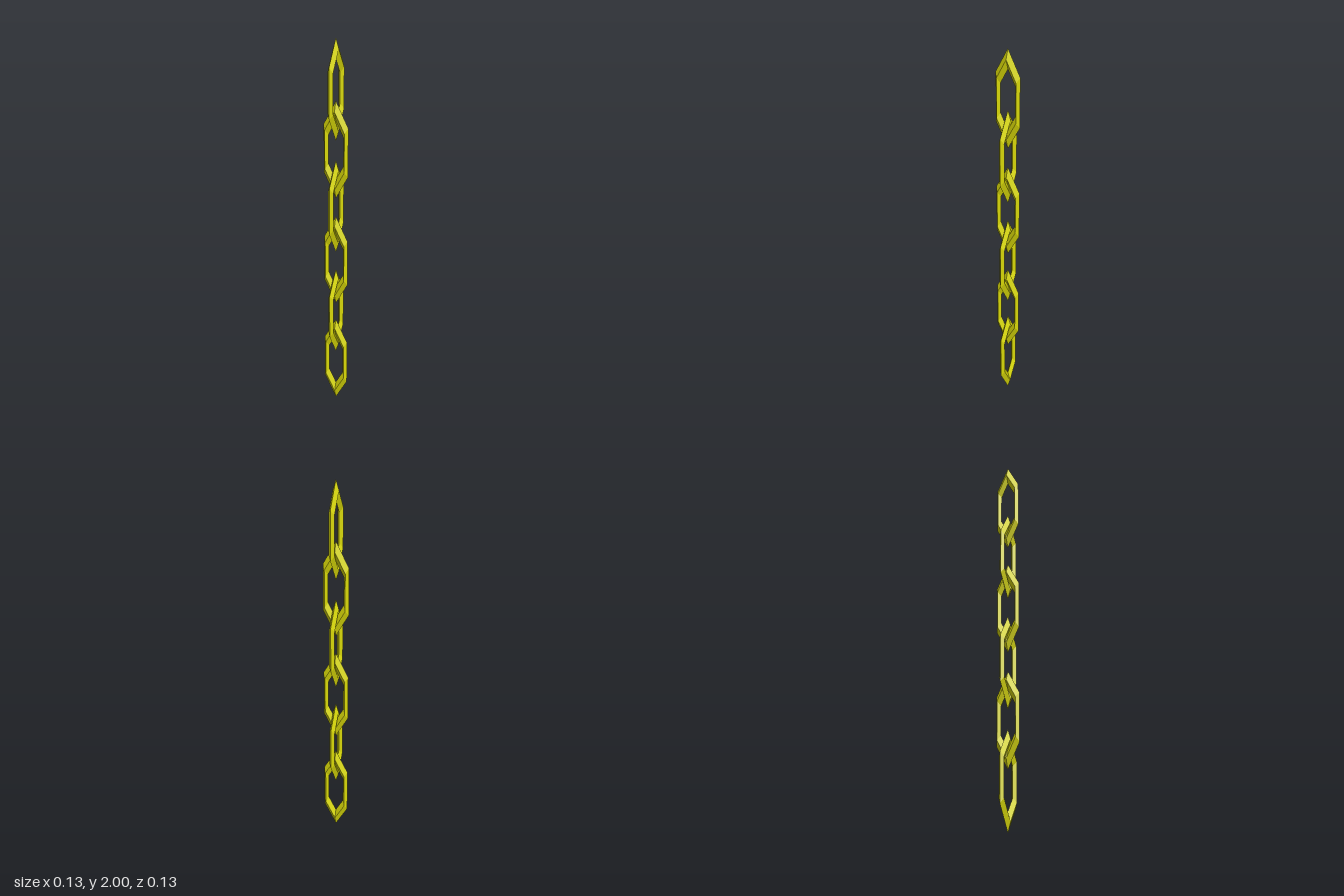
import * as THREE from 'three';

const LINKS = 6;
const LINK_HEIGHT = 0.5;
const PITCH = 0.3;

export function createModel() {
  const chain = new THREE.Group();
  chain.name = 'chain';

  const yellow = new THREE.MeshStandardMaterial({ color: 0xd8d808, flatShading: true });
  yellow.name = 'yellow';

  // One link: six-sided ring with a diamond section, point upwards, squeezed narrow
  const link = new THREE.TorusGeometry(0.2, 0.05, 4, 6);
  link.rotateZ(Math.PI / 2);
  link.scale(0.308, 1, 0.3);

  // Interlocked links, each a quarter turn from the one below
  for (let i = 0; i < LINKS; i++) {
    const mesh = new THREE.Mesh(link, yellow);
    mesh.name = `link${i + 1}`;
    mesh.position.y = LINK_HEIGHT / 2 + i * PITCH;
    mesh.rotation.y = (i % 2) * Math.PI / 2;
    chain.add(mesh);
  }
  return chain;
}
